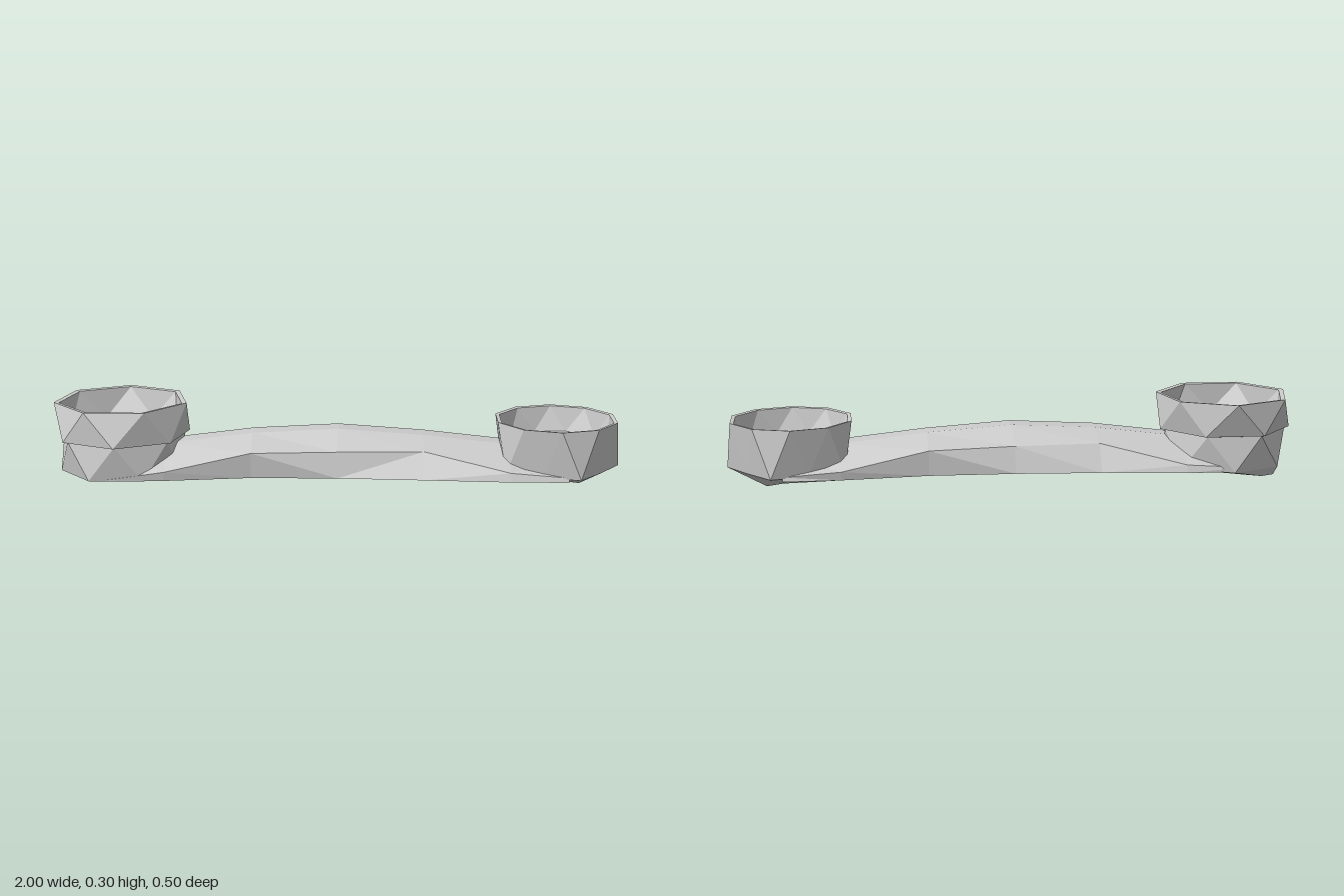
import * as THREE from 'three';

const material = new THREE.MeshStandardMaterial({ color: 0xcccccc, flatShading: true });

// Skin a list of equal-length point rings with outward-facing triangles.
// Each quad is split along its shorter diagonal, so twisted rings give clean zigzag facets.
function loft(name, rings) {
  const n = rings[0].length, pos = [];
  const tri = (...pts) => pts.forEach(p => pos.push(p.x, p.y, p.z));
  for (let i = 0; i < rings.length - 1; i++) {
    for (let j = 0; j < n; j++) {
      const k = (j + 1) % n;
      const a = rings[i][j], b = rings[i][k], c = rings[i + 1][k], d = rings[i + 1][j];
      if (a.distanceTo(c) < b.distanceTo(d)) {
        tri(a, d, c);
        tri(a, c, b);
      } else {
        tri(a, d, b);
        tri(b, d, c);
      }
    }
  }
  const geo = new THREE.BufferGeometry();
  geo.setAttribute('position', new THREE.Float32BufferAttribute(pos, 3));
  geo.computeVertexNormals();
  const mesh = new THREE.Mesh(geo, material);
  mesh.name = name;
  return mesh;
}

// Stack of horizontal polygons around x0. Row: radius, y, twist in half steps,
// centre shift in x and z, and the radius factor of every second corner
function cup(name, x0, sides, phase, rows) {
  return loft(name, rows.map(([r, y, twist = 0, cx = 0, cz = 0, odd = 1]) =>
    Array.from({ length: sides }, (_, j) => {
      const a = phase + (j + twist / 2) / sides * Math.PI * 2;
      const rad = j % 2 ? r * odd : r;
      return new THREE.Vector3(x0 + cx + rad * Math.cos(a), y, cz + rad * Math.sin(a));
    })));
}

// Handle section: keel, front and back lower edges [y, z] and shoulders [y, z], crown height
function section([x, keel, crown, edgeF, shoulderF, edgeB, shoulderB]) {
  const p = ([y, z]) => new THREE.Vector3(x, y, z);
  return [[keel, 0], edgeF, shoulderF, [crown, 0.04], [crown, -0.04], shoulderB, edgeB].map(p);
}

export function createModel() {
  const group = new THREE.Group();
  group.name = 'handset';

  // Arched grip; its shoulders swap sides along the length, giving a slight twist
  group.add(loft('handle', [
    [-0.80, 0.030, 0.14, [0.055, 0.20], [0.06, 0.200], [0.055, -0.20], [0.07, -0.200]],
    [-0.60, 0.036, 0.155, [0.058, 0.20], [0.09, 0.205], [0.058, -0.215], [0.085, -0.205]],
    [-0.30, 0.048, 0.192, [0.062, 0.17], [0.152, 0.178], [0.062, -0.195], [0.155, -0.140]],
    [0.00, 0.057, 0.208, [0.064, 0.178], [0.152, 0.155], [0.064, -0.185], [0.155, -0.155]],
    [0.30, 0.045, 0.187, [0.062, 0.19], [0.150, 0.135], [0.062, -0.174], [0.150, -0.176]],
    [0.60, 0.021, 0.155, [0.060, 0.205], [0.09, 0.195], [0.060, -0.20], [0.09, -0.205]],
    [0.80, 0.006, 0.11, [0.060, 0.205], [0.075, 0.200], [0.060, -0.205], [0.075, -0.200]],
  ].map(section)));

  // Taller cup: seven-sided, with an overhanging twisted collar and a sunken face
  group.add(cup('earpieceCup', -0.766, 7, -Math.PI / 2, [
    [0, 0.025, 0, -0.14, -0.07],
    [0.06, 0.023, 0, -0.115, -0.08],
    [0.22, 0.055, 0],
    [0.222, 0.18, 1],
    [0.24, 0.182, 1, 0, 0.008],
    [0.24, 0.30, 0, 0, -0.008],
    [0.222, 0.298, 0, 0, -0.008],
    [0.195, 0.195, 1],
    [0, 0.18, 1],
  ]));

  // Lower cup: coarse five-cornered base with a pointed keel, ten-sided rim, sunken face
  group.add(cup('mouthpieceCup', 0.77, 10, 0, [
    [0, 0, 0, 0.09, -0.01],
    [0.226, 0.07, 0, 0, 0, 0.83],
    [0.22, 0.24, 1],
    [0.206, 0.238, 1],
    [0.185, 0.15, 0],
    [0, 0.14, 0],
  ]));

  return group;
}
